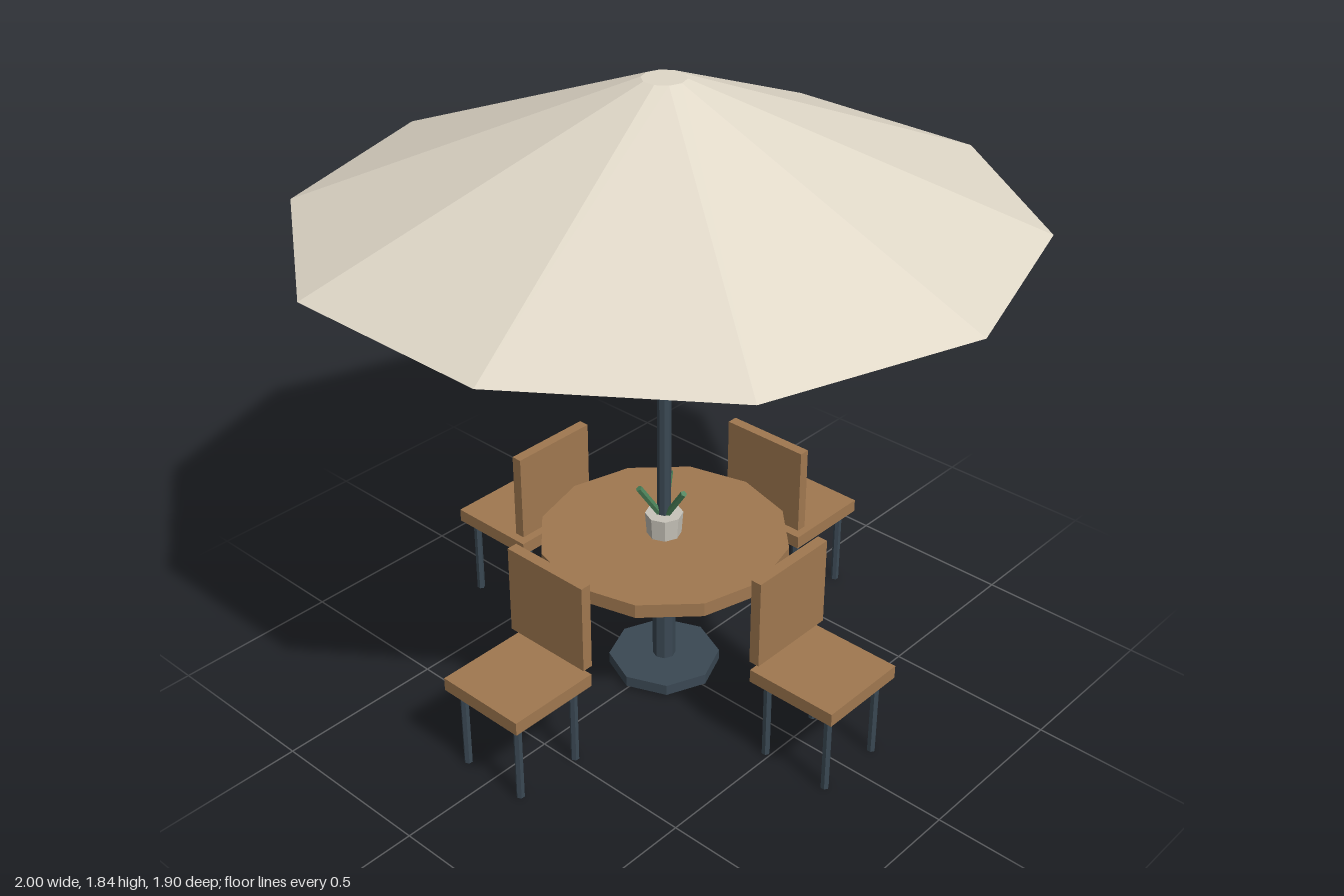
import * as THREE from 'three';

const mat = (name, color) => {
  const m = new THREE.MeshStandardMaterial({ color, flatShading: true });
  m.name = name;
  return m;
};

export function createModel() {
  const canvas = mat('canvas', 0xe0d8c8);
  const wood = mat('wood', 0xa07850);
  const metal = mat('dark metal', 0x3a4853);
  const ceramic = mat('ceramic', 0xc8c4ba);
  const leaf = mat('leaf green', 0x4a8058);

  const model = new THREE.Group();
  model.name = 'patioSet';

  const add = (parent, name, geometry, material, x, y, z) => {
    const mesh = new THREE.Mesh(geometry, material);
    mesh.name = name;
    mesh.position.set(x, y, z);
    parent.add(mesh);
    return mesh;
  };
  // Upright prism spanning y0 to y1 on the centre axis
  const prism = (name, rTop, rBottom, y0, y1, sides, material) =>
    add(model, name, new THREE.CylinderGeometry(rTop, rBottom, y1 - y0, sides), material, 0, (y0 + y1) / 2, 0);

  // Parasol: ten-sided canopy with corners on the x axis, and its pole
  prism('canopy', 0.06, 1, 1.46, 1.84, 10, canvas).rotation.y = Math.PI / 10;
  prism('pole', 0.02, 0.02, 0.44, 1.5, 8, metal);

  // Table with pedestal and foot
  prism('tableTop', 0.363, 0.363, 0.43, 0.472, 12, wood);
  prism('pedestal', 0.034, 0.034, 0, 0.44, 8, metal);
  prism('foot', 0.164, 0.164, 0.01, 0.043, 8, metal);

  // Planter with three leaning leaves
  prism('planter', 0.055, 0.05, 0.472, 0.54, 8, ceramic);
  const up = new THREE.Vector3(0, 1, 0);
  for (let i = 0; i < 3; i++) {
    const a = (i * Math.PI * 2) / 3;
    const base = new THREE.Vector3(0, 0.52, 0);
    const tip = new THREE.Vector3(0.075 * Math.cos(a), 0.635, 0.075 * Math.sin(a));
    const dir = tip.clone().sub(base);
    const mid = base.clone().add(tip).multiplyScalar(0.5);
    const blade = add(model, 'leaf', new THREE.CylinderGeometry(0.01, 0.01, dir.length(), 5), leaf, mid.x, mid.y, mid.z);
    blade.quaternion.setFromUnitVectors(up, dir.normalize());
  }

  // Four chairs around the table, each with its backrest on the inner edge
  const seatGeo = new THREE.BoxGeometry(0.282, 0.04, 0.282);
  const backGeo = new THREE.BoxGeometry(0.282, 0.27, 0.032);
  const legGeo = new THREE.CylinderGeometry(0.012, 0.012, 0.255, 6);
  for (let i = 0; i < 4; i++) {
    const chair = new THREE.Group();
    chair.name = 'chair';
    add(chair, 'seat', seatGeo, wood, 0, 0.273, 0.588);
    add(chair, 'backrest', backGeo, wood, 0, 0.455, 0.46);
    for (const x of [-0.105, 0.105])
      for (const z of [0.483, 0.693]) add(chair, 'leg', legGeo, metal, x, 0.1275, z);
    chair.rotation.y = (i * Math.PI) / 2;
    model.add(chair);
  }
  return model;
}
